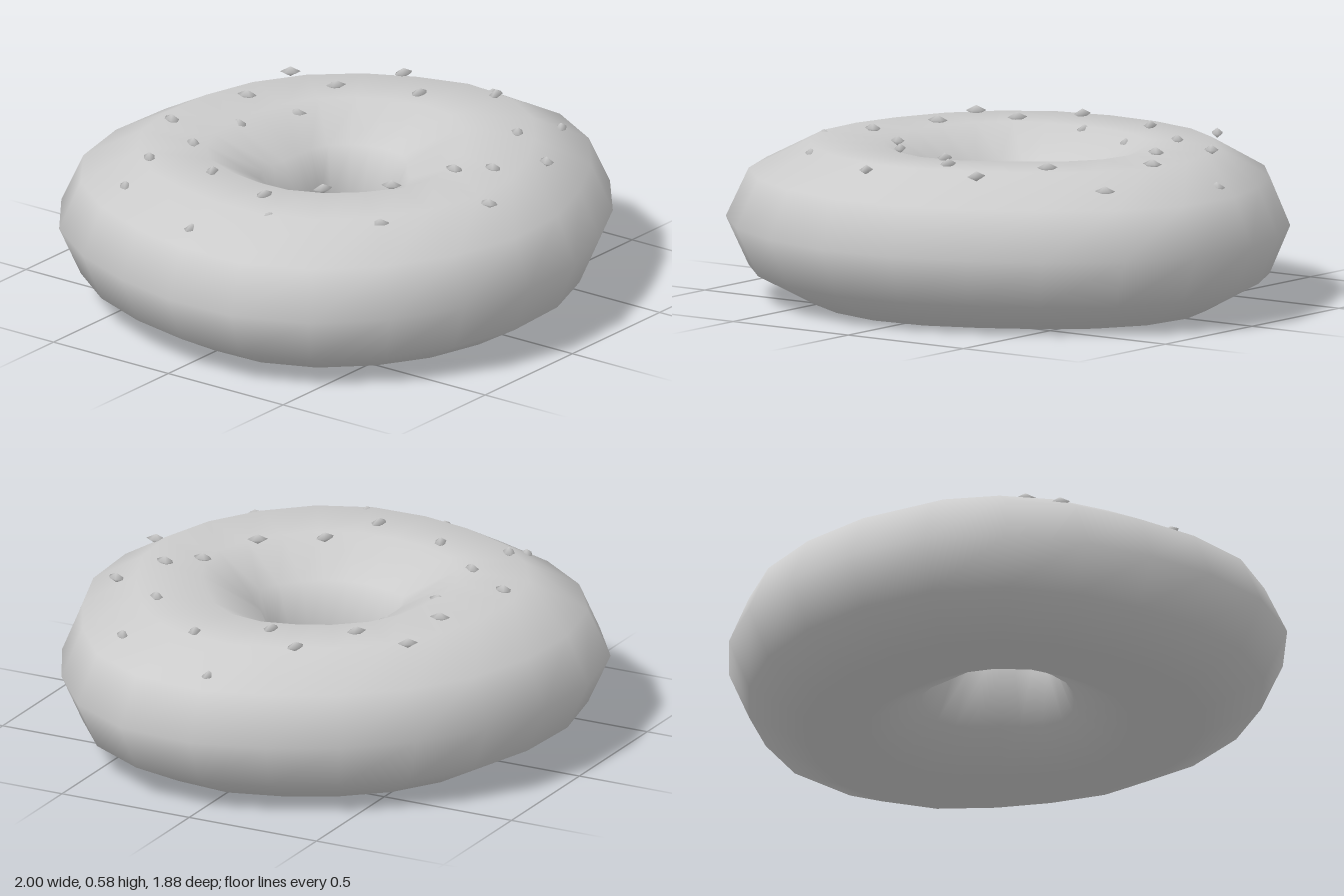
import * as THREE from 'three';

// outer rim and hole outlines as x, z pairs, going round from the back
const RIM = [
  -0.17, -0.945, 0.12, -0.93, 0.39, -0.845, 0.62, -0.69, 0.8, -0.485, 0.92, -0.255,
  1, 0, 0.975, 0.285, 0.84, 0.525, 0.62, 0.705, 0.38, 0.83, 0.12, 0.92,
  -0.165, 0.935, -0.445, 0.865, -0.69, 0.73, -0.89, 0.525, -0.995, 0.27, -1, 0,
  -0.945, -0.245, -0.845, -0.49, -0.685, -0.715, -0.455, -0.88];
const HOLE = [
  -0.03, -0.15, 0.02, -0.145, 0.07, -0.15, 0.12, -0.14, 0.16, -0.095, 0.178, -0.05,
  0.185, 0, 0.17, 0.05, 0.13, 0.09, 0.08, 0.125, 0.05, 0.165, 0.01, 0.205,
  -0.05, 0.22, -0.105, 0.19, -0.145, 0.14, -0.175, 0.095, -0.2, 0.04, -0.205, -0.02,
  -0.2, -0.08, -0.17, -0.155, -0.11, -0.17, -0.065, -0.16];

// sprinkle positions as x, z pairs
const SPRINKLES = [
  -0.19, -0.6, 0.155, -0.535, 0.43, -0.555, -0.68, -0.43, -0.53, -0.44, -0.325, -0.405,
  -0.045, -0.42, 0.19, -0.345, 0.415, -0.345, 0.65, -0.23, -0.505, -0.185, -0.835, -0.025,
  0.53, -0.07, 0.85, 0.005, -0.575, 0.095, -0.7, 0.21, -0.385, 0.205, 0.68, 0.15,
  -0.235, 0.39, 0.02, 0.47, 0.11, 0.57, 0.435, 0.43, 0.685, 0.43, -0.505, 0.545,
  0.3, 0.66, -0.125, 0.73];

const SIDES = 10, MID = 0.277, HALF = 0.289;

// ten-sided cross-sections swept between hole and rim, sharing vertices for smooth normals
function ringGeometry() {
  const n = RIM.length / 2, pos = [], index = [];
  for (let k = 0; k < n; k++) {
    for (let j = 0; j < SIDES; j++) {
      const a = (j / SIDES) * Math.PI * 2, t = (1 + Math.cos(a)) / 2;
      pos.push(
        THREE.MathUtils.lerp(HOLE[2 * k], RIM[2 * k], t),
        MID + HALF * Math.sin(a),
        THREE.MathUtils.lerp(HOLE[2 * k + 1], RIM[2 * k + 1], t));
      const k2 = (k + 1) % n, j2 = (j + 1) % SIDES;
      const p = k * SIDES + j, q = k * SIDES + j2, r = k2 * SIDES + j, s = k2 * SIDES + j2;
      index.push(p, q, r, q, s, r);
    }
  }
  const geo = new THREE.BufferGeometry();
  geo.setAttribute('position', new THREE.Float32BufferAttribute(pos, 3));
  geo.setIndex(index);
  geo.computeVertexNormals();
  return geo;
}

// height of the upper surface at a distance from the centre
function topHeight(r) {
  const t = THREE.MathUtils.clamp((r - 0.19) / 0.775, 0, 1);
  const edge = Math.min(t, 1 - t);
  return edge > 0.345 ? 0.552 : 0.447 + ((edge - 0.095) / 0.25) * 0.105;
}

export function createModel() {
  const model = new THREE.Group();
  model.name = 'doughnut';
  const grey = new THREE.MeshStandardMaterial({ color: 0xcccccc });
  grey.name = 'grey';

  const ring = new THREE.Mesh(ringGeometry(), grey);
  ring.name = 'doughRing';
  model.add(ring);

  // sprinkles: flattened six-sided grains
  const sprinkles = new THREE.Group();
  sprinkles.name = 'sprinkles';
  const grain = new THREE.SphereGeometry(1, 6, 2).scale(0.036, 0.018, 0.021);
  for (let i = 0; i < SPRINKLES.length; i += 2) {
    const x = SPRINKLES[i], z = SPRINKLES[i + 1];
    const sprinkle = new THREE.Mesh(grain, grey);
    sprinkle.name = 'sprinkle';
    sprinkle.position.set(x, topHeight(Math.hypot(x, z)) + 0.008, z);
    sprinkle.rotation.y = Math.atan2(z, x);
    sprinkles.add(sprinkle);
  }
  model.add(sprinkles);
  return model;
}
